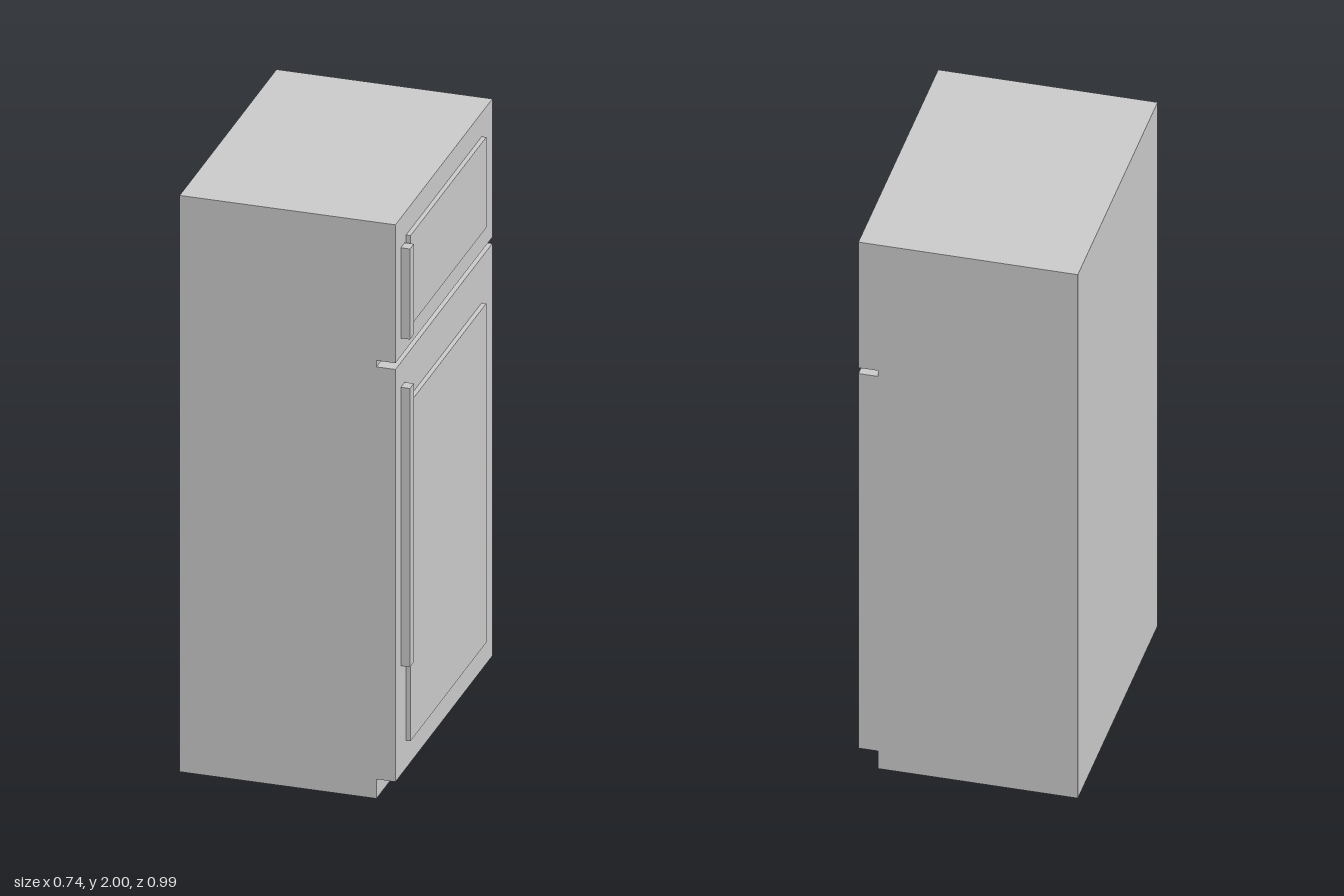
import * as THREE from 'three';

export function createModel() {
  const group = new THREE.Group();
  const material = new THREE.MeshStandardMaterial({ color: 0xcccccc, flatShading: true });

  // Box given by its extents along each axis
  const addBox = (name, [x0, x1], [y0, y1], [z0, z1]) => {
    const mesh = new THREE.Mesh(new THREE.BoxGeometry(x1 - x0, y1 - y0, z1 - z0), material);
    mesh.position.set((x0 + x1) / 2, (y0 + y1) / 2, (z0 + z1) / 2);
    mesh.name = name;
    group.add(mesh);
  };

  const width = [-0.495, 0.495];
  const bodyFront = 0.279, doorFront = 0.342;

  // Cabinet
  addBox('cabinet', [-0.372, bodyFront], [0, 2], width);

  // Doors on the +x side, each with a raised panel and a bar handle
  const doors = [
    { name: 'freezer', door: [1.52, 2], panel: [1.603, 1.917], handle: [1.582, 1.896] },
    { name: 'fridge', door: [0.067, 1.498], panel: [0.163, 1.34], handle: [0.445, 1.412] },
  ];
  for (const d of doors) {
    addBox(d.name + 'Door', [bodyFront, doorFront], d.door, width);
    addBox(d.name + 'Panel', [bodyFront + 0.003, 0.357], d.panel, [-0.387, 0.387]);
    addBox(d.name + 'Handle', [doorFront, 0.372], d.handle, [0.4, 0.44]);
  }
  return group;
}
